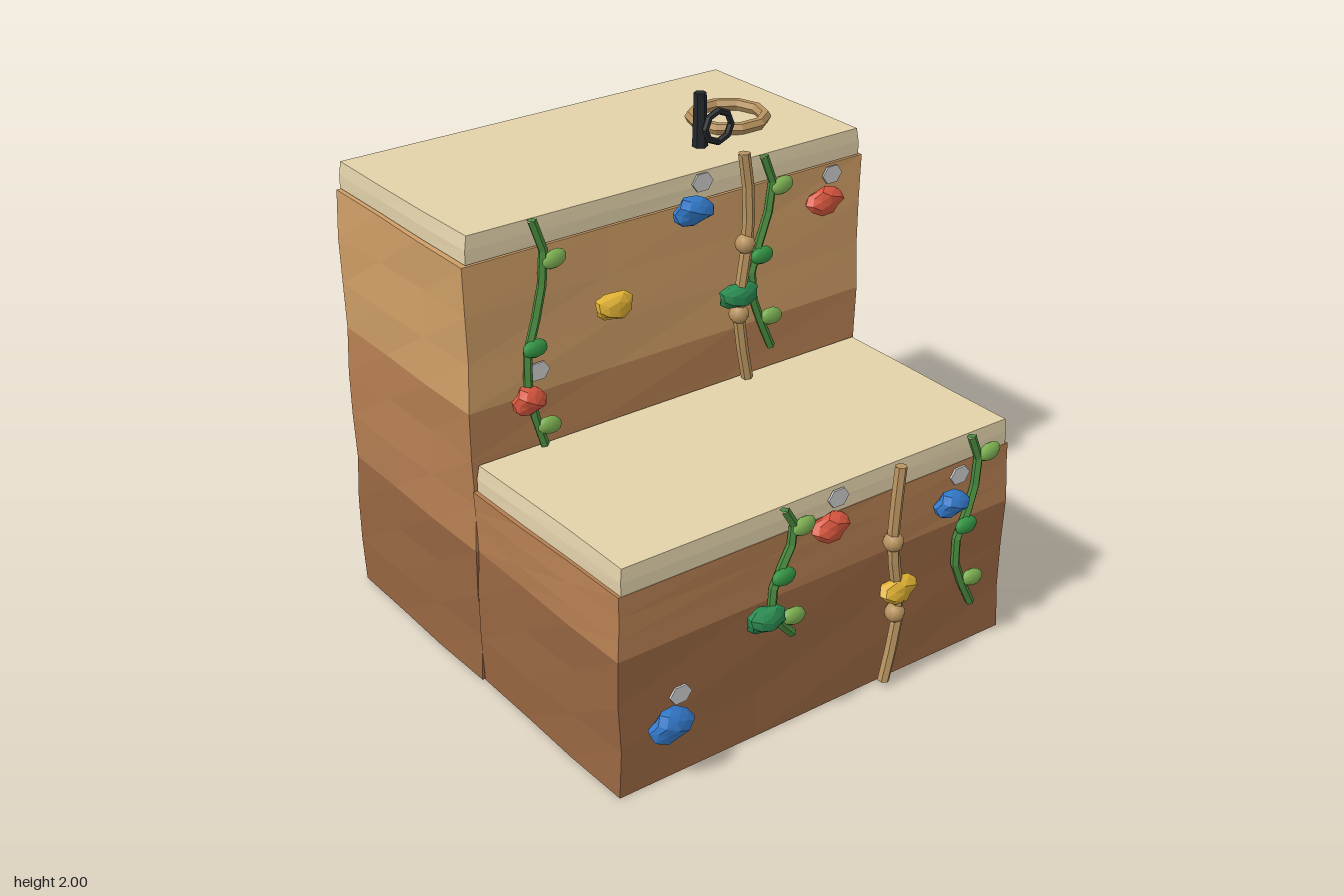
import * as THREE from 'three';

const flat = (color, side = THREE.FrontSide) => new THREE.MeshStandardMaterial({ color, flatShading: true, side });
const smooth = (color) => new THREE.MeshStandardMaterial({ color });
const earth = [flat(0x986642, THREE.DoubleSide), flat(0xb67f52), flat(0xcf9e66)];
const sand = flat(0xe2d2aa), rope = flat(0xb8935f), knotMat = smooth(0xb8935f);
const iron = flat(0x23272b), stem = flat(0x4a8a3e), chalkMat = flat(0xcccccc);
const dark = flat(0x141f12, THREE.DoubleSide);
const leafMats = [smooth(0x7db052), smooth(0x349645)];
const holdMats = { blue: flat(0x337acb), red: flat(0xd9573f), yellow: flat(0xdfb033), green: flat(0x2b8b52) };

function add(parent, name, geometry, material, x = 0, y = 0, z = 0) {
  const m = new THREE.Mesh(geometry, material);
  m.name = name;
  m.position.set(x, y, z);
  parent.add(m);
  return m;
}

// Gently uneven slab; the offset depends only on position so layers meet.
// taper pulls the top edge in, open leaves out the top and bottom faces
function slab(w, y0, y1, z0, z1, rows, { amount = 0.014, taper = 0, open = false }) {
  const g = new THREE.BoxGeometry(w, y1 - y0, z1 - z0, 3, rows, 3);
  if (open) {
    const index = Array.from(g.index.array);
    const [top, bottom] = [g.groups[2], g.groups[3]];
    index.splice(top.start, top.count + bottom.count);
    g.setIndex(index);
    g.clearGroups();
  }
  const p = g.attributes.position;
  const half = (z1 - z0) / 2, zc = (z0 + z1) / 2;
  for (let i = 0; i < p.count; i++) {
    const x = p.getX(i), y = p.getY(i) + (y0 + y1) / 2, z = p.getZ(i);
    const inset = y > y1 - 0.001 ? taper : 0;
    const nx = 0.5 + 0.5 * Math.sin(y * 11 + z * 5 + x * 3);
    const nz = 0.5 + 0.5 * Math.sin(y * 13 + x * 4 + z * 2);
    p.setXYZ(i, x * (1 - amount * nx - inset), y, zc + z * (1 - (amount * 0.3 * nz) / half - inset));
  }
  return g;
}

// One step of the block: hollow foot, coloured earth layers and a sand cap
function makeStep(name, z0, z1, top) {
  const step = new THREE.Group();
  step.name = name;
  const capBase = top - 0.105;
  for (let i = 0; i < 3; i++) {
    const y0 = i * 0.56, y1 = Math.min(y0 + 0.56, capBase);
    if (y1 > y0) add(step, 'earthLayer', slab(1.8, y0, y1, z0, z1, 3, { open: i === 0 }), earth[i]);
  }
  const cap = slab(1.765, capBase, top, z0 + 0.005, z1 - 0.003, 2, { amount: 0.008, taper: 0.008 });
  add(step, 'sandCap', cap, sand);
  return step;
}

// Faceted climbing hold, with an optional chalk mark up and to its side
function makeHold([color, x, y, w, h, chalk], z, index) {
  const hold = new THREE.Group();
  hold.name = 'climbingHold';
  const g = new THREE.IcosahedronGeometry(1, 1);
  const p = g.attributes.position;
  for (let i = 0; i < p.count; i++) {
    const k = 1 + 0.12 * Math.sin(p.getX(i) * 3 + p.getY(i) * 4 + p.getZ(i) * 2 + index * 2);
    p.setXYZ(i, p.getX(i) * k, p.getY(i) * k, p.getZ(i) * k);
  }
  g.scale(w * 0.52, h * 0.5, 0.042);
  add(hold, 'hold', g, holdMats[color], x, y, z);
  if (chalk) {
    const c = new THREE.CylinderGeometry(0.047, 0.047, 0.008, 6).rotateX(Math.PI / 2).rotateZ(Math.PI / 2);
    c.scale(1, 0.82, 1);
    add(hold, 'chalkMark', c, chalkMat, x + 0.06, y + 0.085, z - 0.03);
  }
  return hold;
}

// Hanging strand along [x, y] points, closed at both ends
function makeStrand(name, points, z, radius, sides, material) {
  const strand = new THREE.Group();
  strand.name = name;
  const curve = new THREE.CatmullRomCurve3(points.map(([x, y]) => new THREE.Vector3(x, y, z)));
  add(strand, 'strand', new THREE.TubeGeometry(curve, 7, radius, sides), material);
  [points[0], points[points.length - 1]].forEach(([x, y], i) => {
    const end = new THREE.CircleGeometry(radius, sides).rotateX(i ? Math.PI / 2 : -Math.PI / 2);
    add(strand, 'strandEnd', end, material, x, y, z);
  });
  return strand;
}

function makeVine(points, leaves, z) {
  const vine = makeStrand('vine', points, z, 0.018, 5, stem);
  leaves.forEach(([x, y], i) => {
    const blade = new THREE.SphereGeometry(1, 8, 6).rotateZ(Math.PI / 2);
    const leaf = add(vine, 'leaf', blade, leafMats[i % 2], x, y, z + 0.012);
    leaf.scale.set(0.05, 0.037, 0.024);
    leaf.rotation.z = 0.2 - i * 0.2;
  });
  return vine;
}

function makeRope(points, knots, z) {
  const group = makeStrand('rope', points, z, 0.023, 6, rope);
  knots.forEach(([x, y]) => add(group, 'knot', new THREE.SphereGeometry(0.039, 10, 8), knotMat, x, y, z));
  return group;
}

export function createModel() {
  const model = new THREE.Group();
  model.name = 'climbingBlock';
  model.add(makeStep('upperStep', -0.93, -0.04, 1.79), makeStep('lowerStep', -0.04, 0.845, 0.915));

  // Climbing holds: colour, x, y, width, height, chalk
  const upper = 0.0, lower = 0.88;
  [
    ['blue', 0.06, 1.67, 0.17, 0.11, true], ['yellow', -0.3, 1.39, 0.16, 0.11],
    ['red', 0.68, 1.555, 0.16, 0.11, true], ['red', -0.67, 1.125, 0.13, 0.11, true],
    ['green', 0.27, 1.275, 0.18, 0.1],
  ].forEach((h, i) => model.add(makeHold(h, upper, i)));
  [
    ['red', -0.01, 0.785, 0.15, 0.11, true], ['blue', 0.58, 0.675, 0.15, 0.1, true],
    ['green', -0.29, 0.515, 0.17, 0.1], ['yellow', 0.33, 0.4, 0.16, 0.11],
    ['blue', -0.7, 0.245, 0.17, 0.13, true],
  ].forEach((h, i) => model.add(makeHold(h, lower, i + 5)));

  // Hanging vines
  model.add(
    makeVine([[-0.63, 1.8], [-0.585, 1.66], [-0.62, 1.45], [-0.67, 1.27], [-0.66, 1.12], [-0.605, 0.92]],
      [[-0.55, 1.64], [-0.64, 1.32], [-0.59, 1.0]], -0.012),
    makeVine([[0.39, 1.8], [0.435, 1.68], [0.4, 1.52], [0.345, 1.38], [0.345, 1.25], [0.44, 1.01]],
      [[0.47, 1.67], [0.38, 1.41], [0.43, 1.145]], -0.012),
    makeVine([[-0.21, 0.92], [-0.16, 0.82], [-0.22, 0.68], [-0.255, 0.6], [-0.25, 0.51], [-0.16, 0.4]],
      [[-0.13, 0.835], [-0.215, 0.66], [-0.165, 0.48]], 0.868),
    makeVine([[0.67, 0.92], [0.715, 0.8], [0.68, 0.62], [0.62, 0.47], [0.635, 0.37], [0.72, 0.19]],
      [[0.755, 0.835], [0.66, 0.555], [0.71, 0.31]], 0.868),
  );

  // Knotted climbing ropes
  model.add(
    makeRope([[0.285, 1.84], [0.31, 1.66], [0.305, 1.48], [0.27, 1.2], [0.315, 0.92]],
      [[0.295, 1.48], [0.27, 1.2]], 0.003),
    makeRope([[0.315, 0.92], [0.295, 0.615], [0.335, 0.3], [0.28, 0.02]],
      [[0.295, 0.615], [0.32, 0.305]], 0.88),
  );

  // Anchor post, upright ring and coiled rope on the top
  add(model, 'anchorPost', new THREE.CylinderGeometry(0.024, 0.03, 0.21, 6), iron, 0.28, 1.895, -0.255);
  add(model, 'anchorRing', new THREE.TorusGeometry(0.06, 0.014, 6, 8), iron, 0.28, 1.9, -0.145);
  const coil = new THREE.TorusGeometry(0.143, 0.024, 6, 10).rotateX(Math.PI / 2);
  add(model, 'ropeCoil', coil, rope, 0.525, 1.812, -0.4);

  // Dark discs recessed inside the hollow foot
  const down = (r) => new THREE.CircleGeometry(r, 20).rotateX(Math.PI / 2);
  add(model, 'baseDisc', down(0.88), dark, 0, 0.05, -0.04);
  add(model, 'innerBaseDisc', down(0.53), dark, 0, 0.042, -0.04);
  return model;
}
